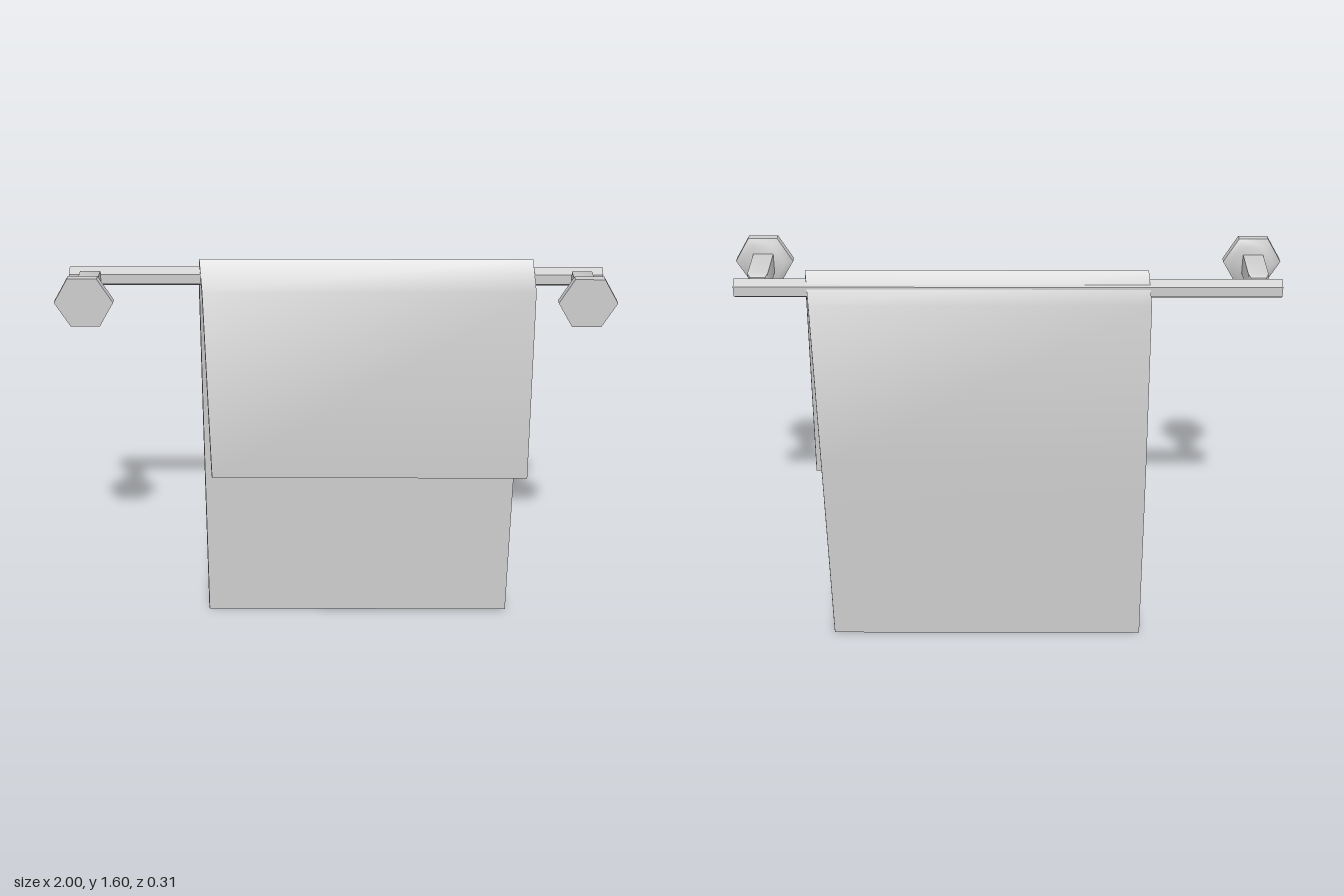
import * as THREE from 'three';
import { toCreasedNormals } from 'three/addons/utils/BufferGeometryUtils.js';

const CREASE = Math.PI / 4;
const BAR_Y = 1.508;
const BAR_Z = -0.087;

export function createModel() {
  const model = new THREE.Group();
  const grey = new THREE.MeshStandardMaterial({ color: 0xcccccc });
  grey.name = 'light grey';

  const add = (name, geometry, parent = model) => {
    const mesh = new THREE.Mesh(toCreasedNormals(geometry, CREASE), grey);
    mesh.name = name;
    parent.add(mesh);
    return mesh;
  };

  // Faceted solid turned about the z axis from [radius, z] points, back to front
  const turned = (points, sides, start) =>
    new THREE.LatheGeometry(points.map(([r, z]) => new THREE.Vector2(r, z)), sides, start)
      .rotateX(Math.PI / 2);

  // Hexagonal rail with a ridge on top
  const rail = new THREE.CylinderGeometry(0.037, 0.037, 1.95, 6, 1, false, Math.PI / 2);
  rail.rotateZ(Math.PI / 2).translate(0, BAR_Y, BAR_Z);
  add('rail', rail);

  // Square post and hexagonal flange at each end
  for (const [side, x] of [['right', -0.895], ['left', 0.895]]) {
    const mount = new THREE.Group();
    mount.name = `${side}Mount`;
    mount.position.set(x, BAR_Y, 0);
    add('post', turned([[0, -0.06], [0.038, -0.06], [0.0516, -0.045], [0.0516, 0.125], [0, 0.125]], 4, Math.PI / 4), mount);
    add('flange', turned([[0, 0.112], [0.076, 0.112], [0.105, 0.13], [0.105, 0.158], [0, 0.158]], 6, Math.PI / 2), mount);
    model.add(mount);
  }

  // Towel section as [z, y]: outside from front hem to back hem, then the inside
  const section = [
    [-0.011, 0.695], [-0.017, 1.475], [-0.083, 1.576], [-0.148, 1.47],
    [-0.157, 0.8], [-0.156, 0.55], [-0.15, 0],
    [-0.128, 0.004], [-0.136, 0.55], [-0.137, 0.8], [-0.128, 1.46],
    [-0.085, 1.55], [-0.036, 1.465], [-0.031, 0.695],
  ];
  const shape = new THREE.Shape(section.map(([z, y]) => new THREE.Vector2(-z, y)));
  const towel = new THREE.ExtrudeGeometry(shape, { depth: 1.22, bevelEnabled: false });
  towel.rotateY(Math.PI / 2).translate(-0.5, 0, 0);

  // The towel hangs slightly askew: front slides left, back slides right
  const p = towel.attributes.position;
  for (let i = 0; i < p.count; i++) {
    const y = p.getY(i);
    const z = p.getZ(i);
    const drop = Math.max(0, 1.47 - y) * 0.01;
    p.setX(i, p.getX(i) + 0.17 * (z + 0.083) + (z > -0.083 ? drop : -drop));
  }
  add('towel', towel);

  return model;
}
